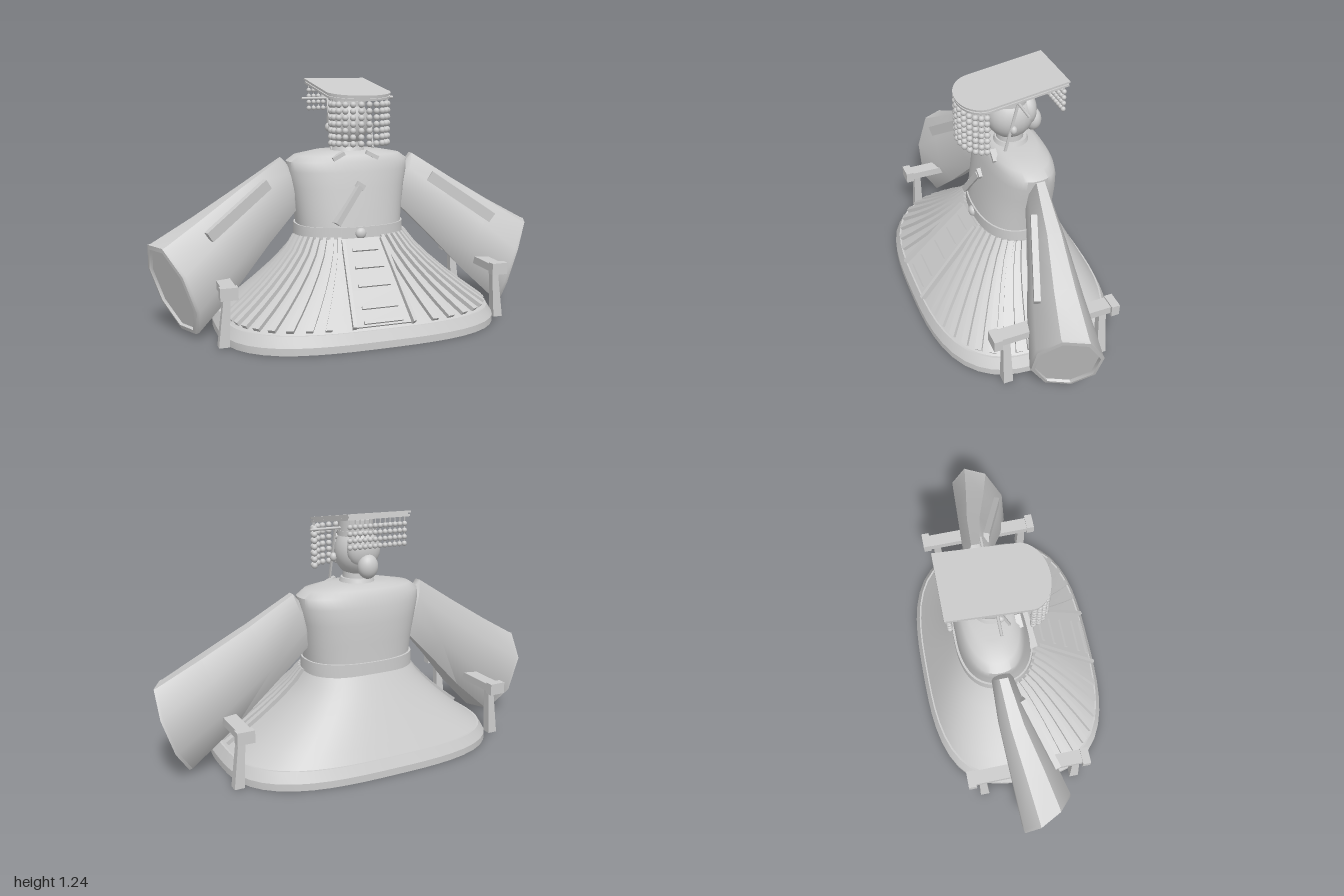
import * as THREE from 'three';
import { mergeGeometries, toCreasedNormals } from 'three/addons/utils/BufferGeometryUtils.js';

const V = (x, y, z) => new THREE.Vector3(x, y, z);

// Skin closed rings of points, cap both ends, and turn the faces outward
function loft(rings, crease = 0.6) {
  const n = rings[0].length, pos = [], idx = [];
  rings.forEach(r => r.forEach(p => pos.push(p)));
  for (let i = 0; i < rings.length - 1; i++) for (let j = 0; j < n; j++) {
    const a = i * n + j, b = i * n + (j + 1) % n;
    idx.push(a, b, a + n, b, b + n, a + n);
  }
  for (const end of [0, rings.length - 1]) {
    const c = pos.length;
    pos.push(rings[end].reduce((s, p) => s.add(p), V(0, 0, 0)).divideScalar(n));
    for (let j = 0; j < n; j++) {
      const a = end * n + j, b = end * n + (j + 1) % n;
      end ? idx.push(a, b, c) : idx.push(b, a, c);
    }
  }
  let volume = 0;
  for (let i = 0; i < idx.length; i += 3)
    volume += pos[idx[i]].dot(V(0, 0, 0).crossVectors(pos[idx[i + 1]], pos[idx[i + 2]]));
  if (volume < 0) idx.reverse();
  const g = new THREE.BufferGeometry().setFromPoints(pos);
  g.setIndex(idx);
  return toCreasedNormals(g, crease);
}

// Point on a rounded-rectangle outline; u is measured from the front
function outline(u, y, rx, rz, zc, n) {
  const s = Math.sin(u), c = Math.cos(u);
  const r = (Math.abs(s) ** n + Math.abs(c) ** n) ** (-1 / n);
  return V(rx * r * s, y, zc + rz * r * c);
}
const ring = (y, rx, rz, zc = 0, n = 2.4, count = 56) =>
  Array.from({ length: count }, (_, i) => outline(i / count * Math.PI * 2, y, rx, rz, zc, n));

// Skirt surface, t runs from hem to waist
const lerp = THREE.MathUtils.lerp;
const skirtArgs = t => [lerp(0.085, 0.46, t), lerp(0.28, 0.68, (1 - t) ** 1.3),
  lerp(0.46, 0.2, t), -0.075 * t, lerp(3, 2.3, t)];
const skirtPoint = (u, t) => outline(u, ...skirtArgs(t));

// Raised strip lying on the skirt
function skirtStrip(u, t0, t1, w0, w1, lift, steps = 5) {
  const rings = [];
  for (let i = 0; i <= steps; i++) {
    const k = i / steps, t = lerp(t0, t1, k), w = lerp(w0, w1, k) / 2;
    const across = skirtPoint(u + 0.02, t).sub(skirtPoint(u - 0.02, t)).normalize();
    const up = skirtPoint(u, t + 0.02).sub(skirtPoint(u, t - 0.02)).normalize();
    const out = V(0, 0, 0).crossVectors(across, up).normalize();
    const at = (a, o) => skirtPoint(u, t).addScaledVector(across, a).addScaledVector(out, o);
    rings.push([at(-w, -0.02), at(w, -0.02), at(w, lift), at(-w, lift)]);
  }
  return loft(rings, 0.4);
}

export function createModel() {
  const model = new THREE.Group();
  const grey = new THREE.MeshStandardMaterial({ color: 0xcccccc });
  grey.name = 'plain grey';
  const add = (name, geo, x = 0, y = 0, z = 0) => {
    const m = new THREE.Mesh(geo, grey);
    m.name = name;
    m.position.set(x, y, z);
    model.add(m);
    return m;
  };
  // Box running from p to q
  const beam = (name, p, q, w, h) => {
    const m = add(name, new THREE.BoxGeometry(w, h, p.distanceTo(q)));
    m.position.copy(p).add(q).multiplyScalar(0.5);
    m.lookAt(q);
    return m;
  };
  const ball = (name, x, y, z, rx, ry, rz) =>
    add(name, new THREE.SphereGeometry(1, 24, 16), x, y, z).scale.set(rx, ry, rz);

  // Plinth, skirt, waistband and torso
  add('base', loft([ring(0, 0.72, 0.49, 0, 3), ring(0.035, 0.72, 0.49, 0, 3), ring(0.085, 0.69, 0.468, 0, 3)], 0.4));
  add('skirt', loft([0, 0.17, 0.33, 0.5, 0.67, 0.83, 1].map(t => ring(...skirtArgs(t)))));
  add('waistband', loft([ring(0.445, 0.288, 0.205, -0.075), ring(0.51, 0.286, 0.203, -0.075)]));
  add('torso', loft([[0.49, 0.275, 0.195, -0.072], [0.6, 0.287, 0.186, -0.08], [0.7, 0.303, 0.178, -0.09],
    [0.78, 0.32, 0.167, -0.093], [0.83, 0.322, 0.153, -0.092], [0.86, 0.28, 0.138, -0.09],
    [0.88, 0.17, 0.105, -0.09]].map(r => ring(...r)), 0.9));
  ball('beltOrnament', 0, 0.478, 0.13, 0.028, 0.028, 0.02);

  // Front apron with crossbars and edge rails
  add('apron', skirtStrip(0, 0.03, 0.97, 0.31, 0.2, 0.012));
  for (const t of [0.05, 0.2, 0.43, 0.63, 0.82])
    add('apronBar', skirtStrip(0, t, t + 0.03, 0.2 - 0.08 * t, 0.195 - 0.08 * t, 0.024, 1));
  for (const s of [-1, 1])
    beam('apronRail', V(s * 0.15, 0.105, 0.47), V(s * 0.1, 0.45, 0.15), 0.018, 0.03);

  // Fan of pleats around the front half
  for (const s of [-1, 1]) for (let i = 0; i < 10; i++)
    add('pleat', skirtStrip(s * (0.39 + i * 0.125), 0.02, 0.98, 0.034, 0.018, 0.02));

  // Robe lapel pieces
  beam('lapel', V(-0.125, 0.53, 0.115), V(0.005, 0.71, 0.085), 0.045, 0.03);
  beam('lapelEnd', V(-0.01, 0.725, 0.088), V(0.03, 0.7, 0.088), 0.03, 0.03);
  for (const s of [-1, 1]) beam('collarFold', V(s * 0.06, 0.875, 0.04), V(s * 0.12, 0.845, 0.045), 0.03, 0.02);

  for (const s of [-1, 1]) {
    // Sleeve sections: top x, y, bottom x, y, centre z, half depth, skew
    const sections = [[0.355, 0.85, 0.28, 0.58, -0.085, 0.052, 0], [0.57, 0.715, 0.43, 0.43, -0.06, 0.082, 0.1],
      [0.79, 0.58, 0.63, 0.22, -0.015, 0.115, 0.3], [0.985, 0.465, 0.84, 0.03, 0.02, 0.138, 0.5]];
    const section = ([tx, ty, bx, by, zc, rz, skew], k = 1, push = 0) => Array.from({ length: 8 }, (_, i) => {
      const a = (i + 0.5) * Math.PI / 4, h = Math.cos(a) / Math.cos(Math.PI / 8), d = Math.sin(a) * rz * k * 1.05;
      const f = 0.5 + 0.5 * h * k;
      // the upper part leans back, the lower part forward
      return V(s * (lerp(bx, tx, f) - skew * d + push), lerp(by, ty, f) - push * 0.3, zc + d);
    });
    const end = sections[3];
    add('sleeve', loft([section(sections[0], 0.7, -0.02), ...sections.map(q => section(q)),
      section(end, 1, 0.015), section(end, 0.9, 0.018), section(end, 0.88, 0.005)], 0.8));
    beam('sleeveStripe', V(s * 0.44, 0.73, -0.015), V(s * 0.755, 0.505, 0.1), 0.03, 0.055);

    // Armrest with posts and end blocks
    beam('armRail', V(s * 0.695, 0.277, -0.33), V(s * 0.695, 0.277, 0.28), 0.07, 0.04);
    for (const z of [0.28, -0.328])
      add('armEndBlock', new THREE.BoxGeometry(0.085, 0.06, 0.042), s * 0.7, 0.275, z);
    for (const z of [0.23, -0.272]) {
      const post = (y, x, w, d) => [[-1, -1], [1, -1], [1, 1], [-1, 1]].map(([a, b]) => V(s * x + a * w, y, z + b * d));
      add('armPost', loft([post(0.005, 0.722, 0.025, 0.024), post(0.265, 0.7, 0.016, 0.018)], 0.3));
    }

    // Side cords, ear ornaments
    beam('sideCord', V(s * 0.112, 1.145, -0.07), V(s * 0.112, 0.89, -0.005), 0.008, 0.013);
    ball('earOrnament', s * 0.112, 1.0, -0.048, 0.018, 0.022, 0.018);
  }

  // Neck, head and hair
  add('neck', new THREE.CylinderGeometry(0.066, 0.07, 0.09, 28), 0, 0.89, -0.075);
  add('collar', new THREE.CylinderGeometry(0.08, 0.092, 0.03, 28), 0, 0.885, -0.08);
  ball('head', 0, 1.025, -0.075, 0.108, 0.122, 0.12);
  ball('backHair', 0, 1.045, -0.15, 0.088, 0.092, 0.055);
  ball('hairBun', 0, 0.968, -0.195, 0.052, 0.06, 0.044);

  // Crown body and pin
  add('crownBand', new THREE.CylinderGeometry(0.09, 0.09, 0.025, 32), 0, 1.118, -0.067);
  add('crownCap', new THREE.CylinderGeometry(0.086, 0.086, 0.07, 32), 0, 1.15, -0.067);
  add('hairPin', new THREE.CylinderGeometry(0.007, 0.007, 0.49, 10), 0, 1.145, -0.07).rotation.z = Math.PI / 2;

  // Tilted crown board, square at the back and round at the front
  const board = (name, half, length, depth, lift) => {
    const shape = new THREE.Shape();
    shape.moveTo(-half, length).lineTo(-half, -0.14);
    shape.absellipse(0, -0.14, half, length - 0.14, Math.PI, Math.PI * 2, false);
    shape.lineTo(half, length);
    const g = new THREE.ExtrudeGeometry(shape, { depth, bevelEnabled: false, curveSegments: 24 });
    g.rotateX(-Math.PI / 2);
    add(name, toCreasedNormals(g, 0.5), 0, 1.176 + lift, -0.053).rotation.x = 0.146;
  };
  board('crownBoardLower', 0.163, 0.255, 0.01, 0);
  board('crownBoardCore', 0.156, 0.248, 0.01, 0.009);
  board('crownBoardUpper', 0.166, 0.258, 0.009, 0.018);

  // Hanging bead strings
  const beadCurtain = (name, spots, rows, top, r) => {
    const parts = [];
    for (const [x, z] of spots) {
      for (let i = 0; i < rows; i++)
        parts.push(new THREE.SphereGeometry(r, 12, 8).translate(x, top - i * 0.0315, z));
      const high = 1.178 - 0.147 * (z + 0.053), low = top - (rows - 1) * 0.0315;
      parts.push(new THREE.CylinderGeometry(0.003, 0.003, high - low, 6).translate(x, (high + low) / 2, z));
    }
    add(name, mergeGeometries(parts));
  };
  const front = [], back = [];
  for (let i = 0; i < 12; i++) {
    const a = Math.PI * i / 11;
    front.push([0.145 * Math.cos(a), 0.1 + 0.092 * Math.sin(a)]);
    back.push([lerp(-0.145, 0.145, i / 11), -0.288]);
  }
  beadCurtain('frontBeads', front, 7, 1.122, 0.0155);
  beadCurtain('backBeads', back, 4, 1.178, 0.0125);

  return model;
}
